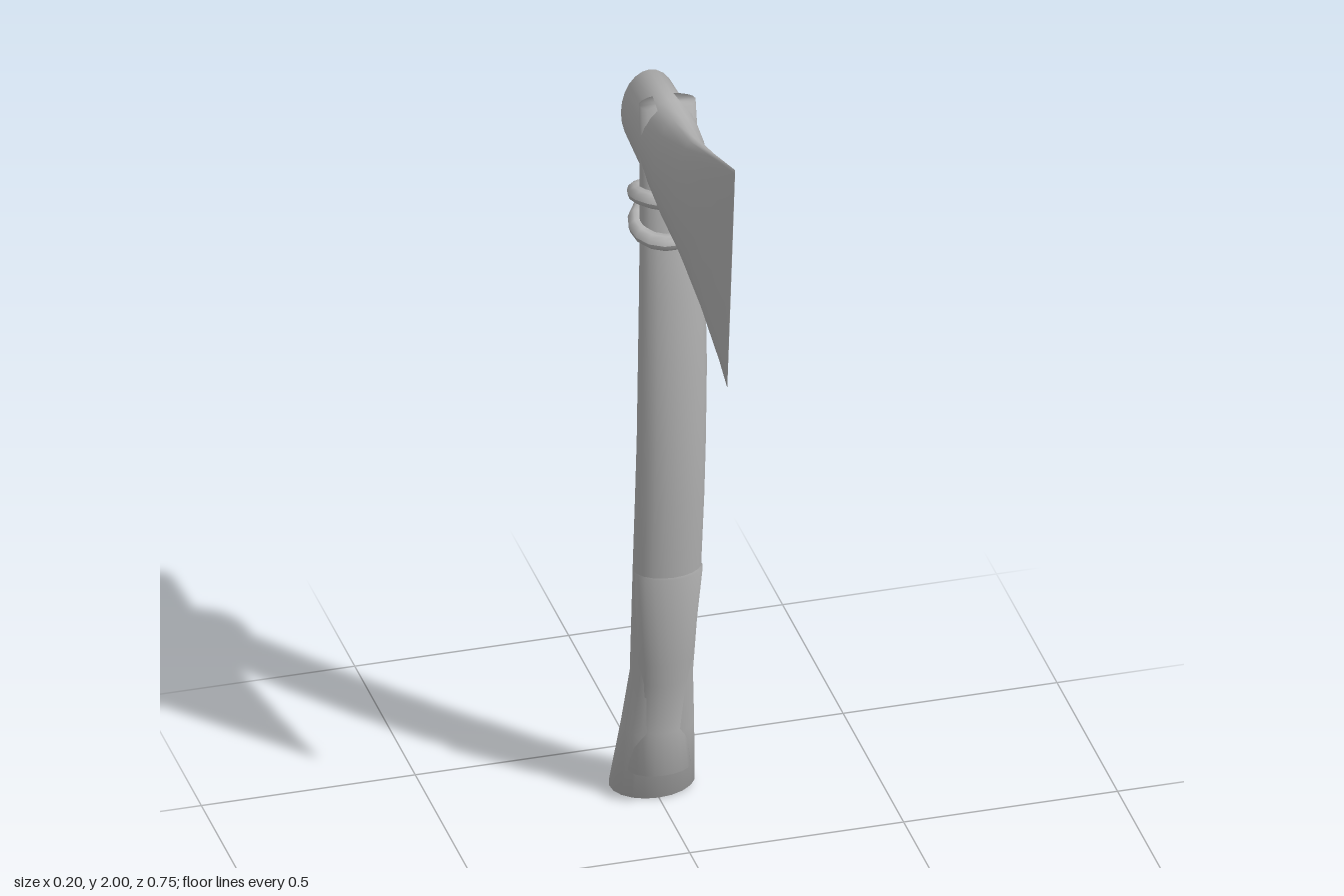
import * as THREE from 'three';

// Closed smooth skin over equal-sized rings of points, capped at both ends.
function loft(rings) {
  const n = rings[0].length, pos = [], idx = [];
  rings.forEach(r => r.forEach(p => pos.push(p.x, p.y, p.z)));
  for (let i = 0; i < rings.length - 1; i++) {
    for (let j = 0; j < n; j++) {
      const a = i * n + j, b = i * n + (j + 1) % n;
      idx.push(a, b, a + n, b, b + n, a + n);
    }
  }
  const cap = (start, ring, flip) => {
    const c = ring.reduce((s, p) => s.add(p), new THREE.Vector3()).divideScalar(n);
    const k = pos.length / 3;
    pos.push(c.x, c.y, c.z);
    for (let j = 0; j < n; j++) {
      const a = start + j, b = start + (j + 1) % n;
      idx.push(k, flip ? b : a, flip ? a : b);
    }
  };
  cap(0, rings[0], true);
  cap((rings.length - 1) * n, rings[rings.length - 1], false);
  const g = new THREE.BufferGeometry();
  g.setAttribute('position', new THREE.Float32BufferAttribute(pos, 3));
  g.setIndex(idx);
  g.computeVertexNormals();
  return g;
}

// Oval shaft from stations [y, centre z, half width, half depth, tilt].
function shaft(stations, n) {
  return loft(stations.map(([y, z, hx, hz, tilt]) =>
    Array.from({ length: n }, (_, j) => {
      const a = j / n * Math.PI * 2, d = Math.cos(a) * hz;
      return new THREE.Vector3(Math.sin(a) * hx, y + d * Math.sin(tilt) * -1, z + d * Math.cos(tilt));
    })));
}

export function createModel() {
  const group = new THREE.Group();
  const grey = new THREE.MeshStandardMaterial({ color: 0xb3b3b3 });
  const add = (name, geometry) => {
    const m = new THREE.Mesh(geometry, grey);
    m.name = name;
    group.add(m);
    return m;
  };

  // Head: oval poll tapering to a flared straight cutting edge.
  // [top z, top y, bottom z, bottom y, half width]
  const head = [
    [-0.335, 1.86, -0.335, 1.655, 0.066],
    [-0.17, 1.872, -0.17, 1.638, 0.07],
    [-0.08, 1.881, -0.08, 1.592, 0.064],
    [0.04, 1.893, 0.03, 1.54, 0.045],
    [0.2, 1.944, 0.17, 1.467, 0.023],
    [0.375, 2.0, 0.31, 1.395, 0.0005],
  ];
  const sides = 24;
  add('axeHead', loft(head.map(([tz, ty, bz, by, w]) =>
    Array.from({ length: sides }, (_, j) => {
      const a = j / sides * Math.PI * 2, t = (1 + Math.sin(a)) / 2;
      return new THREE.Vector3(Math.cos(a) * w, by + (ty - by) * t, bz + (tz - bz) * t);
    }))));

  // Curved handle, flaring at the foot and running up through the head.
  add('handle', shaft([
    [0.02, -0.313, 0.1, 0.061, 0.25],
    [0.2, -0.266, 0.085, 0.056, 0.23],
    [0.35, -0.234, 0.073, 0.052, 0.19],
    [0.65, -0.188, 0.079, 0.056, 0.13],
    [0.85, -0.165, 0.08, 0.056, 0.08],
    [1.0, -0.152, 0.08, 0.055, 0.04],
    [1.2, -0.143, 0.08, 0.053, 0],
    [1.4, -0.144, 0.077, 0.051, 0],
    [1.55, -0.15, 0.074, 0.049, 0],
    [1.7, -0.167, 0.07, 0.043, 0],
    [1.86, -0.185, 0.066, 0.037, 0],
  ], 20));

  // Grip layer standing just proud of the handle's front.
  add('frontGrip', shaft([
    [0.09, -0.252, 0.073, 0.047, 0],
    [0.2, -0.25, 0.06, 0.045, 0],
    [0.34, -0.222, 0.06, 0.045, 0],
    [0.4, -0.211, 0.066, 0.048, 0],
    [0.648, -0.174, 0.079, 0.052, 0],
  ], 20));

  // Two tilted lashing rings below the head: [y, z, rise to front, rise to +x].
  [[1.63, -0.165, 0.035, -0.03], [1.575, -0.157, -0.04, 0.025]].forEach(([y, z, rz, rx], i) => {
    const g = new THREE.TorusGeometry(1, 0.02, 10, 16);
    g.rotateX(Math.PI / 2);
    const p = g.attributes.position;
    for (let k = 0; k < p.count; k++) {
      const x = p.getX(k), h = p.getY(k), d = p.getZ(k), r = Math.hypot(x, d), off = r - 1;
      const cx = x / r, cz = d / r;
      p.setXYZ(k, cx * (0.078 + off), y + h + cz * rz / 2 + cx * rx / 2, z + cz * (0.072 + off));
    }
    g.computeVertexNormals();
    add(i ? 'lowerLashing' : 'upperLashing', g);
  });

  return group;
}
